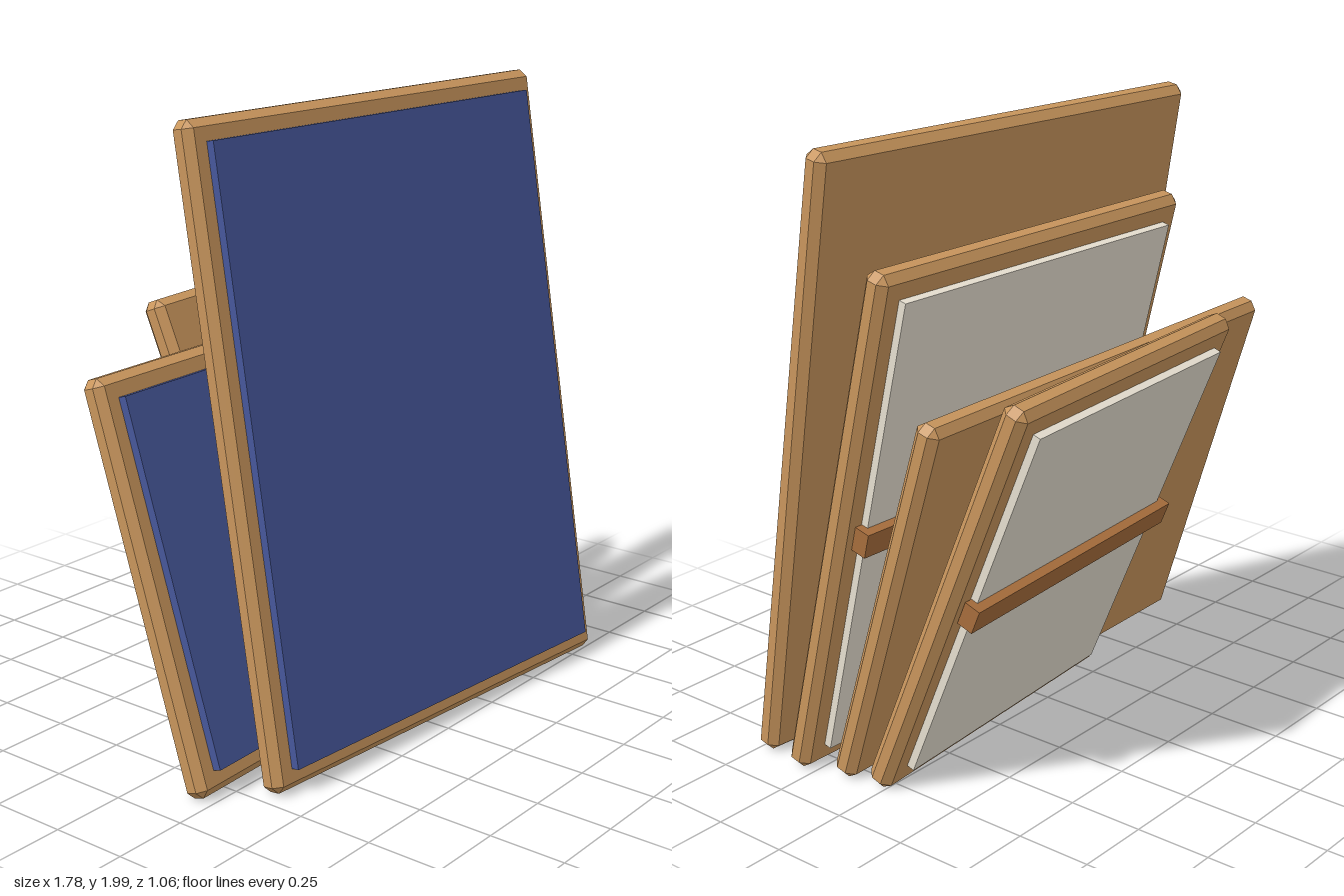
import * as THREE from 'three';
import { ConvexGeometry } from 'three/addons/geometries/ConvexGeometry.js';

const mat = (color) => new THREE.MeshStandardMaterial({ color });
const wood = mat(0xc8955c);
const darkWood = mat(0xa66d3c);
const blue = mat(0x46579a);
const pale = mat(0xe6dfd0);

const T = 0.085; // slab thickness
const B = 0.025; // chamfer width

// Box with every edge and corner cut by a flat chamfer
function chamferBox(w, h, d, b) {
  const pts = [];
  for (const sx of [-1, 1]) for (const sy of [-1, 1]) for (const sz of [-1, 1])
    for (const [i, j, k] of [[0, b, b], [b, 0, b], [b, b, 0]])
      pts.push(new THREE.Vector3(sx * (w / 2 - i), sy * (h / 2 - j), sz * (d / 2 - k)));
  return new ConvexGeometry(pts);
}

function addBox(group, name, size, z, material) {
  const mesh = new THREE.Mesh(new THREE.BoxGeometry(...size), material);
  mesh.name = name;
  mesh.position.z = z;
  group.add(mesh);
}

// One leaning panel: either the painted face looks forward, or the bare back looks to the rear
function makePanel({ name, w, h, x, z, tilt, yaw, border, reversed }) {
  const panel = new THREE.Group();
  panel.name = name;
  const slab = new THREE.Mesh(chamferBox(w, h, T, B), wood);
  slab.name = 'frameSlab';
  panel.add(slab);

  const sheet = [w - 2 * border, h - 2 * border, 0.05];
  if (reversed) {
    addBox(panel, 'canvasBack', sheet, -0.043, pale);
    addBox(panel, 'crossBar', [w - 0.1, 0.08, 0.055], -0.072, darkWood);
  } else {
    addBox(panel, 'paintedCanvas', sheet, 0.045, blue);
  }

  // Lean back, turn, and rest the lower edge on the ground
  const y = (h / 2) * Math.cos(tilt) + (T / 2 - B) * Math.sin(tilt) + 0.004;
  panel.rotation.set(-tilt, yaw, 0, 'YXZ');
  panel.position.set(x, y, z);
  return panel;
}

export function createModel() {
  const model = new THREE.Group();
  model.name = 'leaningCanvases';
  const panels = [
    { name: 'frontCanvas', w: 1.575, h: 2.015, x: 0.085, z: 0.24, tilt: 0.174, yaw: -0.083, border: 0.068 },
    { name: 'secondCanvas', w: 1.375, h: 1.72, x: 0.193, z: 0.097, tilt: 0.243, yaw: -0.022, border: 0.078, reversed: true },
    { name: 'thirdCanvas', w: 1.72, h: 1.29, x: -0.03, z: -0.01, tilt: 0.3, yaw: 0.023, border: 0.07 },
    { name: 'rearCanvas', w: 1.155, h: 1.435, x: 0.22, z: -0.195, tilt: 0.385, yaw: 0.074, border: 0.08, reversed: true },
  ];
  for (const p of panels) model.add(makePanel(p));
  return model;
}
